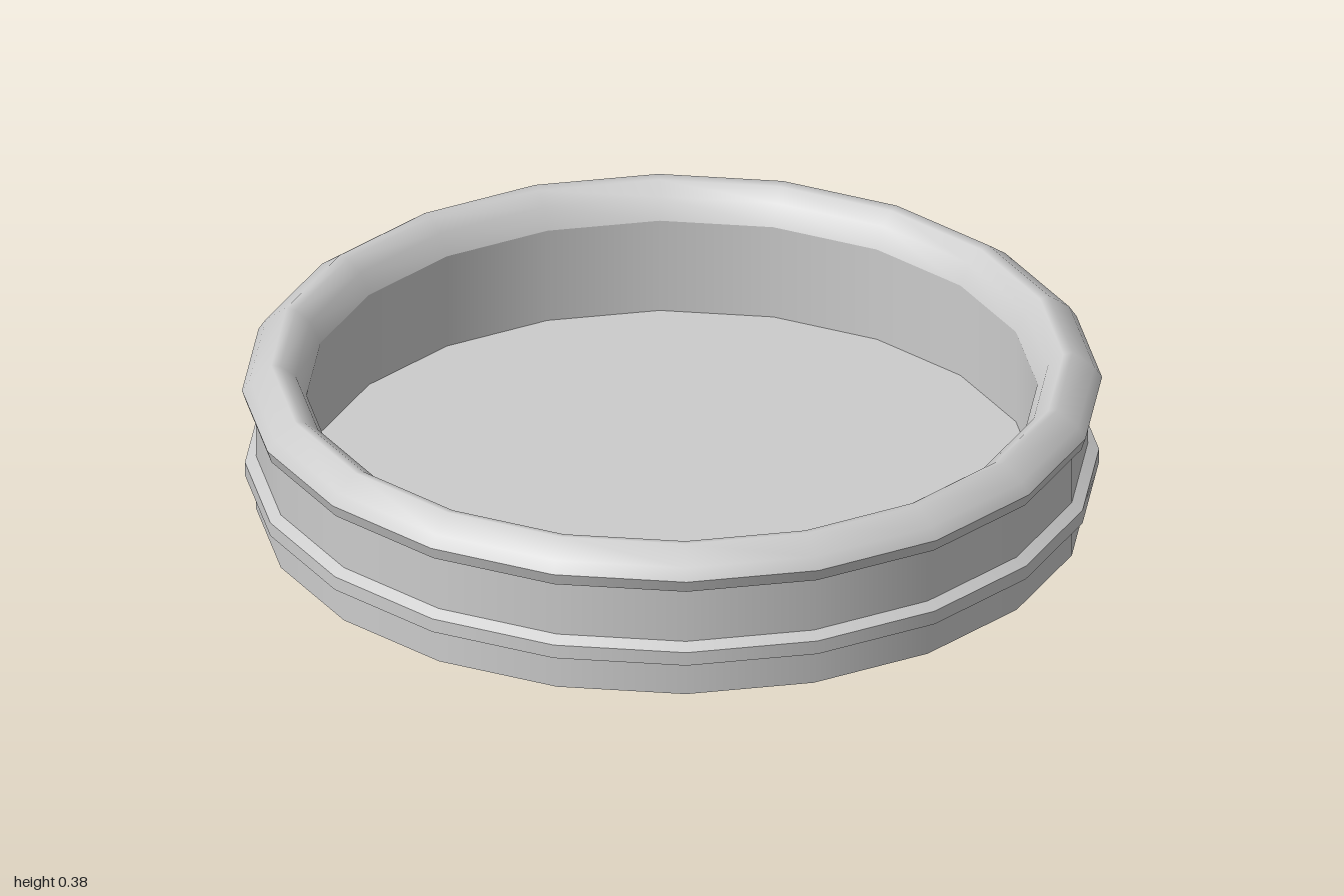
import * as THREE from 'three';

const SIDES = 20;
const material = new THREE.MeshStandardMaterial({ color: 0xcccccc });

// One smooth band of revolution; separate bands keep hard edges between them
function band(points) {
  const profile = points.map(([r, y]) => new THREE.Vector2(r, y));
  return new THREE.LatheGeometry(profile, SIDES);
}

function part(name, bands) {
  const group = new THREE.Group();
  group.name = name;
  bands.forEach((points, i) => {
    const mesh = new THREE.Mesh(band(points), material);
    mesh.name = `${name}Band${i + 1}`;
    group.add(mesh);
  });
  return group;
}

// Splits a profile into straight, hard-edged bands
const segments = (points) => points.slice(1).map((p, i) => [points[i], p]);

export function createModel() {
  const model = new THREE.Group();
  model.name = 'shallowDish';

  // Underside and lower wall
  model.add(part('base', segments([[0, 0], [0.967, 0], [0.967, 0.075]])));

  // Thin raised bead around the wall
  model.add(part('bead', segments([[0.967, 0.075], [0.993, 0.088], [0.993, 0.122], [0.967, 0.138]])));

  // Outer wall between bead and rim
  model.add(part('outerWall', [[[0.967, 0.138], [0.967, 0.272]]]));

  // Overhanging lip and rounded rim, turning over into the bowl
  model.add(part('rim', [
    [[0.967, 0.272], [0.99, 0.28]],
    [[0.99, 0.28], [1, 0.31]],
    [[1, 0.31], [0.982, 0.338], [0.932, 0.375], [0.91, 0.371], [0.875, 0.345], [0.85, 0.295]],
  ]));

  // Inside wall and floor
  model.add(part('innerWall', [[[0.85, 0.295], [0.85, 0.06]]]));
  model.add(part('floor', [[[0.85, 0.06], [0, 0.06]]]));

  return model;
}
